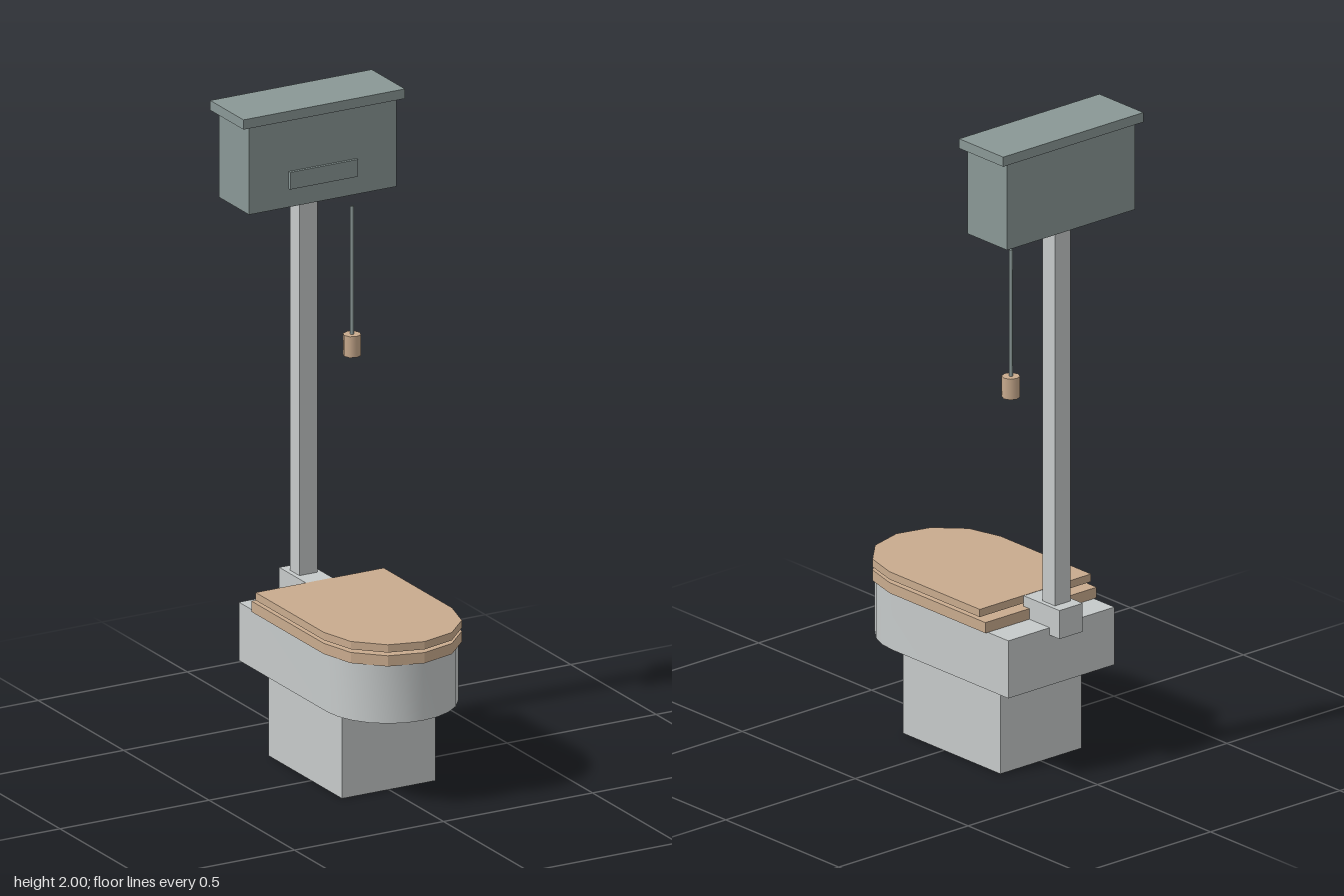
import * as THREE from 'three';
import { toCreasedNormals } from 'three/addons/utils/BufferGeometryUtils.js';

export function createModel() {
  const model = new THREE.Group();
  model.name = 'highCisternToilet';

  const mat = (name, color) => {
    const m = new THREE.MeshStandardMaterial({ color });
    m.name = name;
    return m;
  };
  const ceramic = mat('pale ceramic', 0xc6caca);
  const wood = mat('light wood', 0xc9ab8e);
  const iron = mat('grey green iron', 0x8a9896);
  const dark = mat('dark opening', 0x3a4244);

  const add = (name, geometry, material) => {
    const mesh = new THREE.Mesh(geometry, material);
    mesh.name = name;
    model.add(mesh);
    return mesh;
  };

  // Box given by its extents on each axis
  const box = (name, material, [x0, x1], [y0, y1], [z0, z1]) =>
    add(name, new THREE.BoxGeometry(x1 - x0, y1 - y0, z1 - z0), material)
      .position.set((x0 + x1) / 2, (y0 + y1) / 2, (z0 + z1) / 2);

  const cylinder = (name, material, r, [y0, y1], x, z, sides) => {
    const mesh = add(name, new THREE.CylinderGeometry(r, r, y1 - y0, sides), material);
    mesh.position.set(x, (y0 + y1) / 2, z);
    return mesh;
  };

  // Slab with a straight back and a half-round front
  const FRONT_CENTRE = 0.175;
  const roundedSlab = (r, back, [y0, y1], segments) => {
    const s = new THREE.Shape();
    s.moveTo(-r, -back);
    s.lineTo(-r, -FRONT_CENTRE);
    for (let i = 1; i <= segments; i++) {
      const a = Math.PI + (i / segments) * Math.PI;
      s.lineTo(Math.cos(a) * r, Math.sin(a) * r - FRONT_CENTRE);
    }
    s.lineTo(r, -back);
    s.closePath();
    const g = new THREE.ExtrudeGeometry(s, { depth: y1 - y0, bevelEnabled: false });
    return g.rotateX(-Math.PI / 2).translate(0, y0, 0);
  };

  // Pedestal and bowl
  box('pedestal', ceramic, [-0.157, 0.157], [0, 0.275], [-0.25, 0.18]);
  add('bowl', toCreasedNormals(roundedSlab(0.205, -0.34, [0.275, 0.455], 12), 0.6), ceramic);

  // Seat, opening and lid
  add('seat', roundedSlab(0.215, -0.25, [0.455, 0.488], 6), wood);
  cylinder('bowlOpening', dark, 0.135, [0.487, 0.494], 0, 0.182, 10).rotation.y = Math.PI / 2;
  add('seatLid', roundedSlab(0.215, -0.225, [0.498, 0.522], 6), wood);

  // Flush pipe
  box('pipeElbow', ceramic, [-0.045, 0.045], [0.432, 0.521], [-0.383, -0.225]);
  box('flushPipe', ceramic, [-0.03, 0.03], [0.521, 1.7], [-0.346, -0.291]);

  // Cistern
  box('cistern', iron, [-0.247, 0.247], [1.7, 1.97], [-0.383, -0.207]);
  box('cisternLid', iron, [-0.271, 0.271], [1.97, 2], [-0.393, -0.198]);
  box('cisternPlate', iron, [-0.114, 0.114], [1.757, 1.81], [-0.207, -0.198]);

  // Pull chain
  cylinder('pullChain', iron, 0.006, [1.24, 1.64], 0.135, -0.271, 6);
  cylinder('pullHandle', wood, 0.027, [1.18, 1.245], 0.135, -0.271, 8);

  return model;
}
